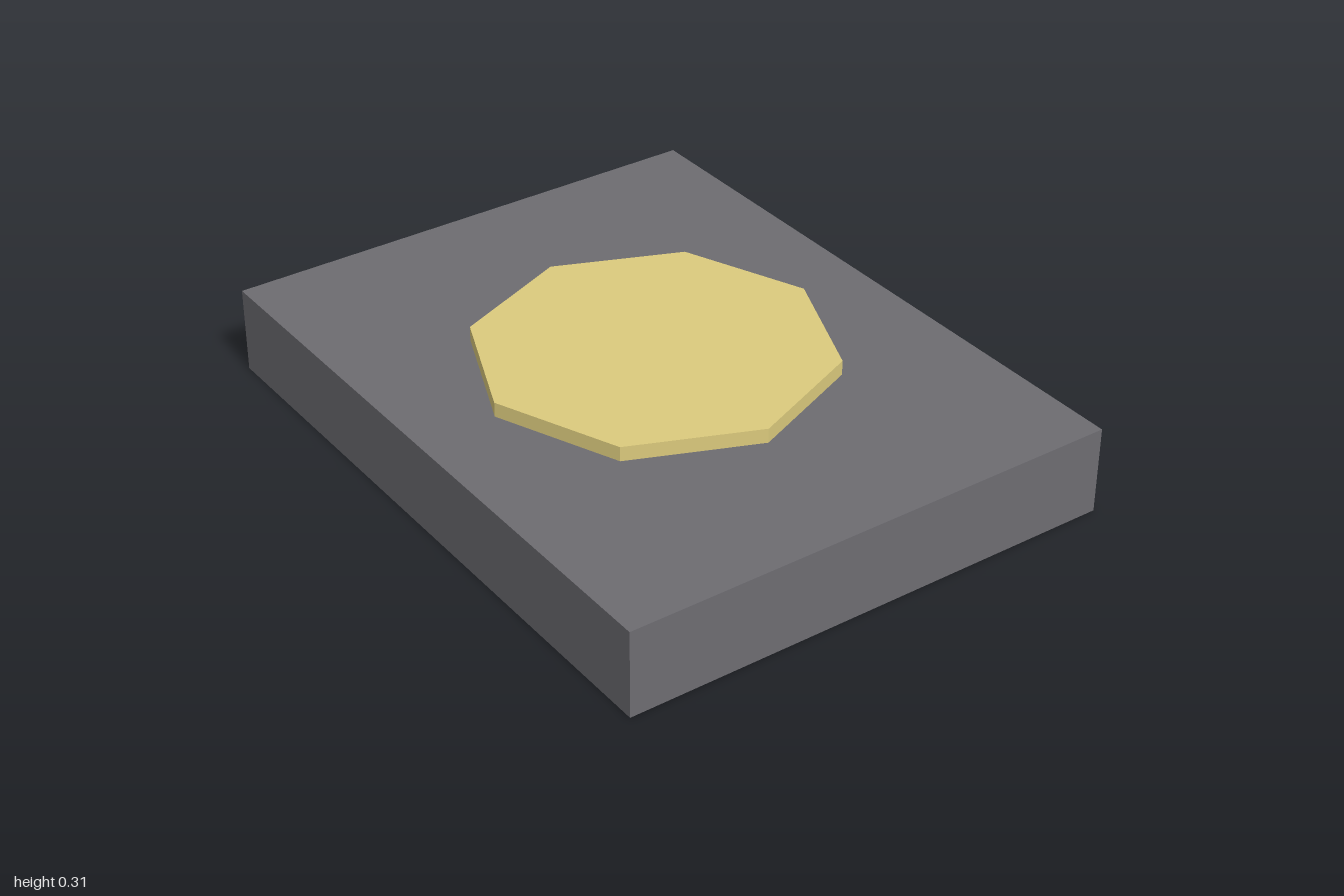
import * as THREE from 'three';

const SLAB = { width: 1.555, height: 0.267, depth: 2 };
const DISC = { radius: 0.532, bottom: 0.05, top: 0.312 };

function addPart(group, name, geometry, color, y) {
  const material = new THREE.MeshStandardMaterial({ color, flatShading: true });
  const mesh = new THREE.Mesh(geometry, material);
  mesh.name = name;
  mesh.position.y = y;
  group.add(mesh);
}

export function createModel() {
  const model = new THREE.Group();
  model.name = 'buttonPlate';

  // Rectangular base slab
  addPart(model, 'baseSlab',
    new THREE.BoxGeometry(SLAB.width, SLAB.height, SLAB.depth),
    0x6d6c71, SLAB.height / 2);

  // Eight-sided button set into the slab, corners on the x and z axes
  addPart(model, 'octagonButton',
    new THREE.CylinderGeometry(DISC.radius, DISC.radius, DISC.top - DISC.bottom, 8),
    0xdccb7d, (DISC.top + DISC.bottom) / 2);

  return model;
}
